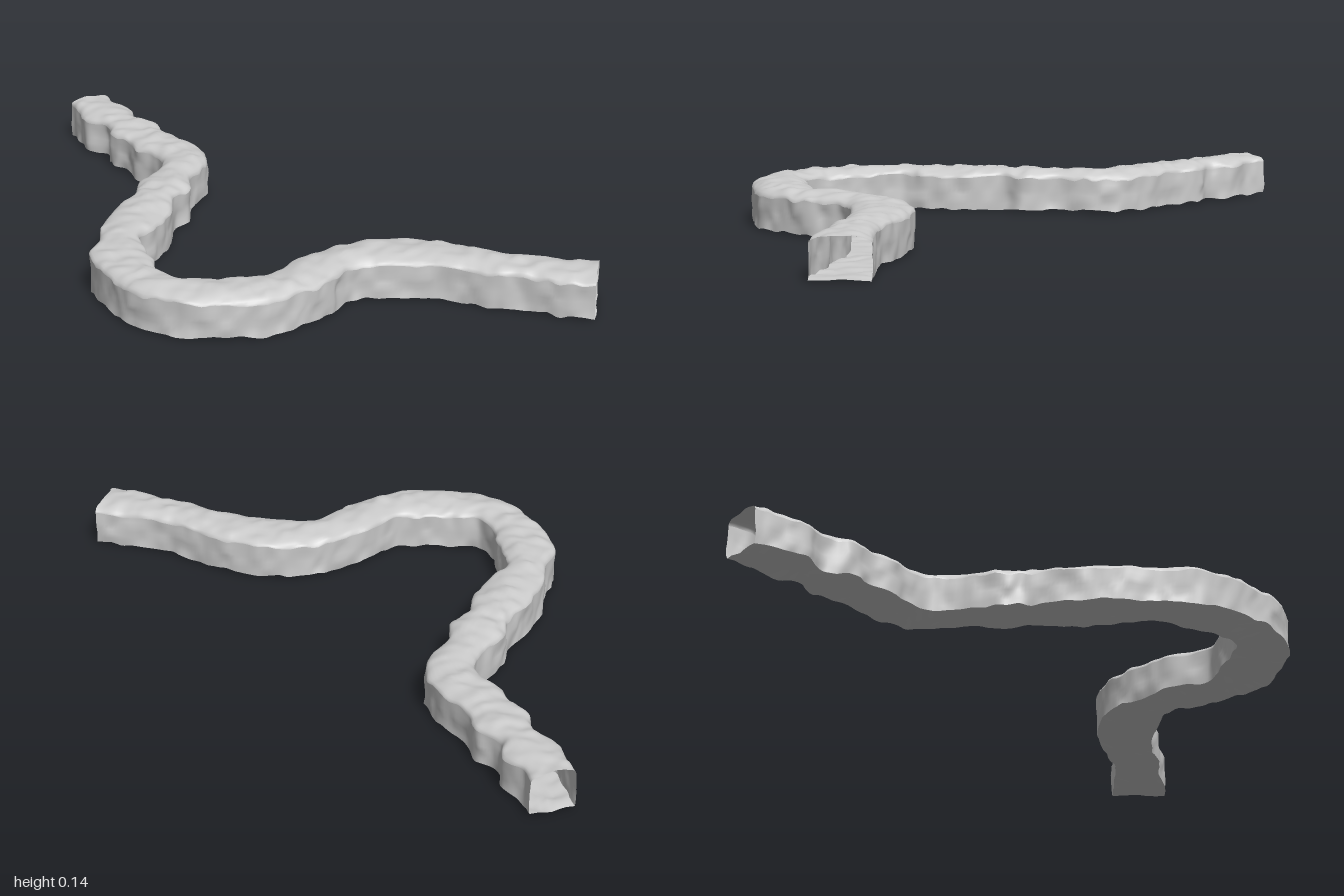
import * as THREE from 'three';

// Stations along the passage: outer edge x, z and inner edge x, z
const STATIONS = [
  [-1, -0.7, -0.9, -0.8], [-0.94, -0.63, -0.86, -0.75], [-0.89, -0.565, -0.78, -0.7],
  [-0.81, -0.54, -0.74, -0.63], [-0.77, -0.46, -0.66, -0.6], [-0.7, -0.42, -0.61, -0.53],
  [-0.65, -0.36, -0.5, -0.46], [-0.58, -0.325, -0.42, -0.38], [-0.525, -0.27, -0.385, -0.3],
  [-0.52, -0.19, -0.395, -0.15], [-0.54, -0.05, -0.37, -0.05], [-0.525, 0.02, -0.395, 0.02],
  [-0.54, 0.15, -0.37, 0.13], [-0.54, 0.3, -0.375, 0.27], [-0.51, 0.4, -0.395, 0.36],
  [-0.5, 0.51, -0.36, 0.43], [-0.45, 0.6, -0.3, 0.51], [-0.37, 0.68, -0.27, 0.57],
  [-0.28, 0.75, -0.2, 0.625], [-0.13, 0.785, -0.14, 0.615], [0, 0.76, -0.07, 0.59],
  [0.12, 0.7, 0, 0.56], [0.18, 0.62, 0.06, 0.53], [0.24, 0.53, 0.1, 0.42],
  [0.26, 0.45, 0.17, 0.31], [0.3, 0.39, 0.25, 0.22], [0.4, 0.355, 0.35, 0.17],
  [0.58, 0.325, 0.5, 0.155], [0.7, 0.345, 0.62, 0.175], [0.78, 0.335, 0.75, 0.195],
  [0.9, 0.35, 0.85, 0.185], [1, 0.345, 0.98, 0.165],
];
const FLOOR = 0.007, SPRING = 0.11, RISE = 0.028;
const LENGTH_SEGMENTS = 300;

const edgeCurve = (k) => new THREE.CatmullRomCurve3(
  STATIONS.map((s) => new THREE.Vector3(s[k], 0, s[k + 1])));

// Smooth value noise in -1..1
function hash(x, y, z) {
  const s = Math.sin(x * 127.1 + y * 311.7 + z * 74.7) * 43758.5453;
  return (s - Math.floor(s)) * 2 - 1;
}
function noise(x, y, z) {
  const i = [x, y, z].map(Math.floor);
  const f = [x - i[0], y - i[1], z - i[2]].map((t) => t * t * (3 - 2 * t));
  let sum = 0;
  for (let c = 0; c < 8; c++) {
    const d = [c & 1, (c >> 1) & 1, c >> 2];
    const w = d.reduce((p, b, k) => p * (b ? f[k] : 1 - f[k]), 1);
    sum += w * hash(i[0] + d[0], i[1] + d[1], i[2] + d[2]);
  }
  return sum;
}

// Uneven rock, depending only on position so that neighbouring strips meet
function roughen(p) {
  const q = p.clone().multiplyScalar(28);
  p.x += 0.005 * noise(q.x, q.y, q.z);
  p.z += 0.005 * noise(q.x + 40, q.y, q.z);
  p.y += 0.007 * noise(q.x, q.y + 40, q.z);
  p.x = THREE.MathUtils.clamp(p.x, -1, 1);
  p.y = Math.max(p.y, 0);
  return p;
}

export function createModel() {
  const group = new THREE.Group();
  group.name = 'caveTunnel';
  const material = new THREE.MeshStandardMaterial({
    color: 0xcccccc, roughness: 0.9, side: THREE.DoubleSide,
  });
  const outer = edgeCurve(0), inner = edgeCurve(2);

  // Sweeps one side of the section: section(v) gives [position across 0..1, height]
  function addStrip(name, segments, section) {
    const geometry = new THREE.PlaneGeometry(1, 1, LENGTH_SEGMENTS, segments);
    const { position, uv } = geometry.attributes;
    for (let i = 0; i < position.count; i++) {
      const u = uv.getX(i);
      const [across, height] = section(uv.getY(i));
      const p = outer.getPoint(u).lerp(inner.getPoint(u), across);
      p.y = height;
      roughen(p);
      position.setXYZ(i, p.x, p.y, p.z);
    }
    geometry.computeVertexNormals();
    const mesh = new THREE.Mesh(geometry, material);
    mesh.name = name;
    group.add(mesh);
  }

  const lerp = THREE.MathUtils.lerp;
  addStrip('outerWall', 6, (v) => [0, lerp(FLOOR, SPRING, v)]);
  // Low elliptical vault resting on the walls
  addStrip('archedRoof', 16, (v) => [
    (1 - Math.cos(Math.PI * v)) / 2, SPRING + RISE * Math.sin(Math.PI * v)]);
  addStrip('innerWall', 6, (v) => [1, lerp(SPRING, FLOOR, v)]);
  addStrip('floor', 6, (v) => [1 - v, FLOOR]);
  return group;
}
